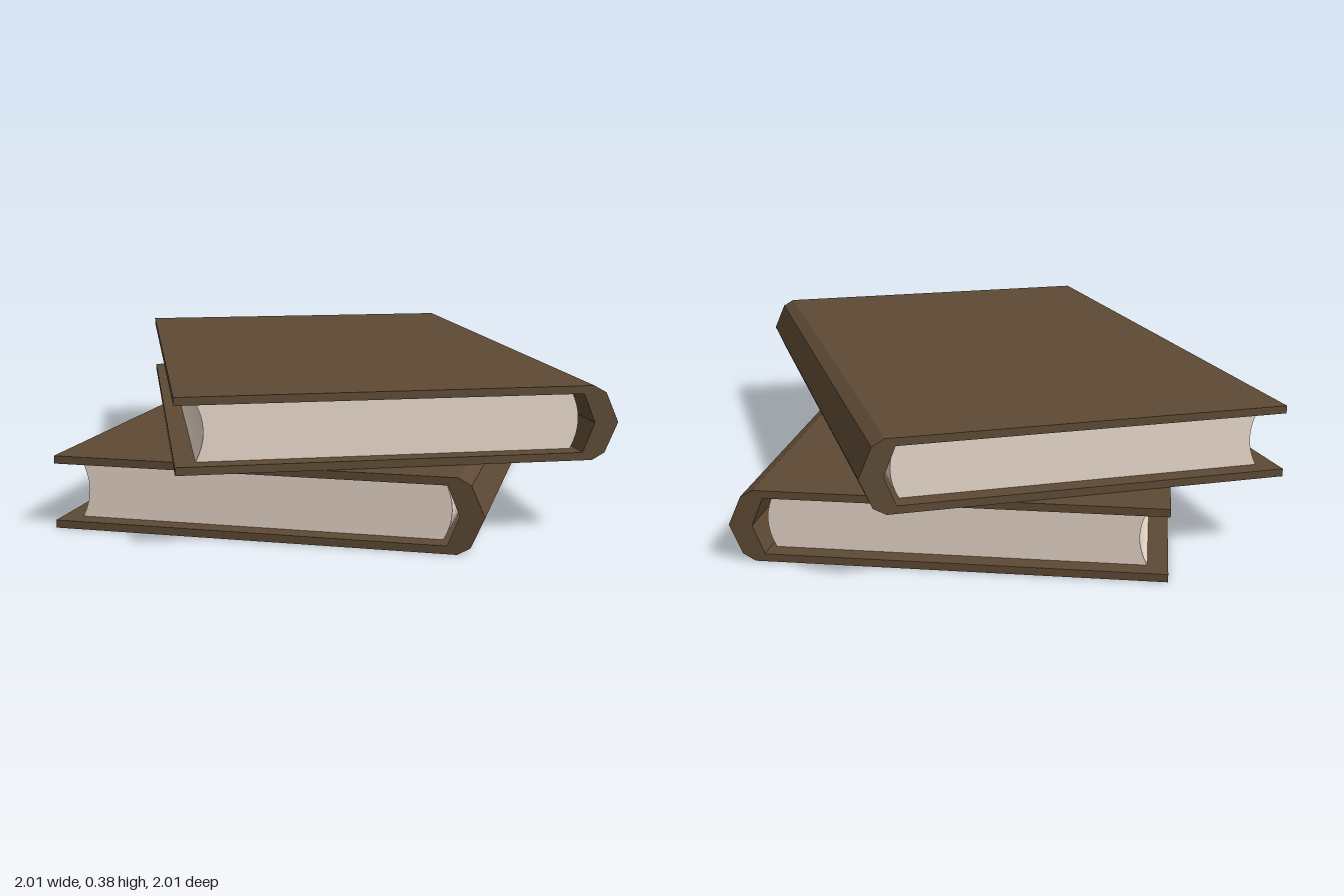
import * as THREE from 'three';

const LENGTH = 1.69, HEIGHT = 0.187, BOARD = 0.02, HALF = 0.545, INSET = 0.051;

// Extrude an outline along the spine direction, centred on z
function prism(shape, length, material, name) {
  const geometry = new THREE.ExtrudeGeometry(shape, { depth: length, bevelEnabled: false, curveSegments: 8 });
  geometry.translate(0, 0, -length / 2);
  const mesh = new THREE.Mesh(geometry, material);
  mesh.name = name;
  return mesh;
}

// C-shaped section: two boards joined by a faceted spine
function coverShape() {
  const H = HEIGHT, T = BOARD, mid = H / 2;
  return new THREE.Shape([
    [-HALF, 0], [HALF - 0.065, 0], [HALF - 0.033, 0.018], [HALF, mid],
    [HALF - 0.033, H - 0.018], [HALF - 0.065, H], [-HALF, H],
    [-HALF, H - T], [HALF - 0.09, H - T], [HALF - 0.06, mid],
    [HALF - 0.09, T], [-HALF, T],
  ].map(([x, y]) => new THREE.Vector2(x, y)));
}

// Page block section: hollow fore edge, rounded back
function pagesShape() {
  const left = -HALF + INSET, right = HALF - 0.105;
  const bottom = BOARD, top = HEIGHT - BOARD, mid = HEIGHT / 2;
  const shape = new THREE.Shape();
  shape.moveTo(left, bottom);
  shape.lineTo(right, bottom);
  shape.quadraticCurveTo(right + 0.04, mid, right, top);
  shape.lineTo(left, top);
  shape.quadraticCurveTo(left + 0.04, mid, left, bottom);
  return shape;
}

function createBook(name, angle, x, y, cover, paper) {
  const book = new THREE.Group();
  book.name = name;
  book.add(
    prism(coverShape(), LENGTH, cover, 'cover'),
    prism(pagesShape(), LENGTH - 2 * INSET, paper, 'pages'),
  );
  book.position.set(x, y, 0);
  book.rotation.y = THREE.MathUtils.degToRad(angle);
  return book;
}

export function createModel() {
  const cover = new THREE.MeshStandardMaterial({ color: 0x5e4a35 });
  const paper = new THREE.MeshStandardMaterial({ color: 0xe8d8ca });
  const model = new THREE.Group();
  model.name = 'bookStack';
  model.add(
    createBook('lowerBook', -53, -0.003, 0, cover, paper),
    createBook('upperBook', -30, 0.003, HEIGHT + 0.001, cover, paper),
  );
  return model;
}
